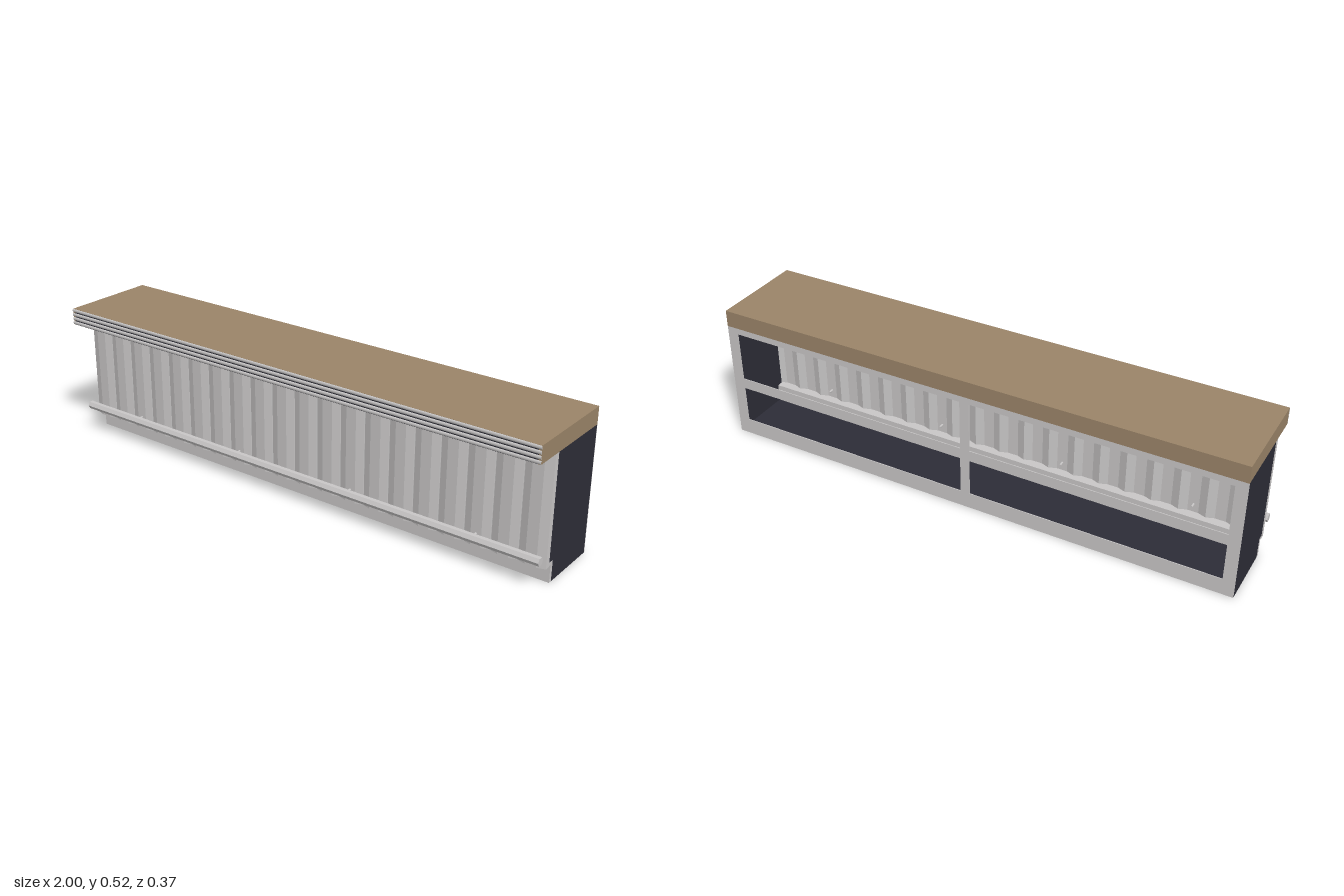
import * as THREE from 'three';

export function createModel() {
  const model = new THREE.Group();
  model.name = 'barCounter';

  const material = (name, color) => {
    const m = new THREE.MeshStandardMaterial({ color });
    m.name = name;
    return m;
  };
  const paint = material('light grey paint', 0xc8c6c6);
  const dark = material('dark charcoal', 0x2d2d37);
  const wood = material('brown wood', 0x9a8468);

  const add = (name, geometry, mat) => {
    const mesh = new THREE.Mesh(geometry, mat);
    mesh.name = name;
    model.add(mesh);
    return mesh;
  };
  // Box given by its minimum and maximum on each axis
  const box = (name, mat, [x0, x1], [y0, y1], [z0, z1]) => {
    const g = new THREE.BoxGeometry(x1 - x0, y1 - y0, z1 - z0);
    g.translate((x0 + x1) / 2, (y0 + y1) / 2, (z0 + z1) / 2);
    return add(name, g, mat);
  };
  const polygon = (points) => new THREE.Shape(points.map(([x, y]) => new THREE.Vector2(x, y)));
  const extrude = (shape, depth) => new THREE.ExtrudeGeometry(shape, { depth, bevelEnabled: false });

  const full = [-1, 1];
  const bodyTop = 0.462, top = 0.525;
  const back = -0.187, front = 0.183;

  // Hollow wooden worktop: slab, back skirt and end skirts
  box('worktopSlab', wood, full, [top - 0.008, top], [back, front]);
  box('worktopBackSkirt', wood, [-0.99, 0.99], [bodyTop, top - 0.008], [back, back + 0.01]);
  for (const s of [-1, 1]) {
    box('worktopEndSkirt', wood, s < 0 ? [-1, -0.99] : [0.99, 1], [bodyTop, top - 0.008], [back, front]);
  }

  // Dark front edge with four rounded ribs
  box('worktopFrontBoard', dark, [-0.99, 0.99], [bodyTop, top - 0.008], [0.173, front - 0.0005]);
  for (let i = 0; i < 4; i++) {
    const rib = new THREE.CylinderGeometry(0.0063, 0.0063, 2, 10);
    rib.rotateZ(Math.PI / 2);
    rib.scale(1, 1, 0.65);
    rib.translate(0, 0.4695 + i * 0.0163, front);
    add('edgeRib', rib, paint);
  }

  // Stepped dark end panels
  const endProfile = polygon([
    [0.185, 0], [-0.045, 0], [-0.045, 0.078], [-0.068, 0.078], [-0.068, bodyTop], [0.185, bodyTop],
  ]);
  for (const x of [-1, 0.99]) {
    const g = extrude(endProfile, 0.01);
    g.rotateY(Math.PI / 2);
    g.translate(x, 0, 0);
    add('endPanel', g, dark);
  }
  box('floor', dark, [-0.99, 0.99], [0, 0.01], [-0.185, 0.045]);

  // Front kick plate and the ledge above it
  box('kickPlate', paint, full, [0, 0.066], [0.045, 0.058]);
  box('kickLedge', paint, full, [0.066, 0.078], [0.045, 0.083]);

  // Twenty fluted planks, bowed outward in front and hollow behind
  const planks = 20, pitch = 2 / planks;
  for (let i = 0; i < planks; i++) {
    const x = -1 + i * pitch;
    const l = i === 0 ? x : x + 0.002;
    const r = i === planks - 1 ? x + pitch : x + pitch - 0.002;
    const g = extrude(polygon([
      [x, -0.083], [l, -0.083], [l, -0.088], [x + 0.03, -0.097], [x + 0.07, -0.097],
      [r, -0.088], [r, -0.083], [x + pitch, -0.083], [x + pitch, -0.068],
      [x + 0.07, -0.079], [x + 0.03, -0.079], [x, -0.068],
    ]), bodyTop - 0.063);
    g.rotateX(-Math.PI / 2);
    g.translate(0, 0.063, 0);
    add('frontPlank', g, paint);
  }

  // Open back frame with four bays
  const frame = polygon([[-1, 0], [1, 0], [1, bodyTop], [-1, bodyTop]]);
  for (const [x0, x1] of [[-0.957, -0.018], [0.018, 0.957]]) {
    for (const [y0, y1] of [[0.062, 0.205], [0.246, 0.438]]) {
      frame.holes.push(polygon([[x0, y0], [x0, y1], [x1, y1], [x1, y0]]));
    }
  }
  const frameGeometry = extrude(frame, 0.003);
  frameGeometry.translate(0, 0, back);
  add('backFrame', frameGeometry, paint);

  // Six-sided foot rail on four rods
  const rail = new THREE.CylinderGeometry(0.0155, 0.0155, 2, 6).toNonIndexed();
  rail.computeVertexNormals();
  rail.rotateZ(Math.PI / 2);
  rail.translate(0, 0.11, 0.13);
  add('footRail', rail, paint);
  for (const x of [-0.75, -0.25, 0.25, 0.75]) {
    const rod = new THREE.CylinderGeometry(0.0045, 0.0045, 0.07, 8);
    rod.rotateX(Math.PI / 2);
    rod.translate(x, 0.11, 0.095);
    add('railRod', rod, paint);
  }

  return model;
}
